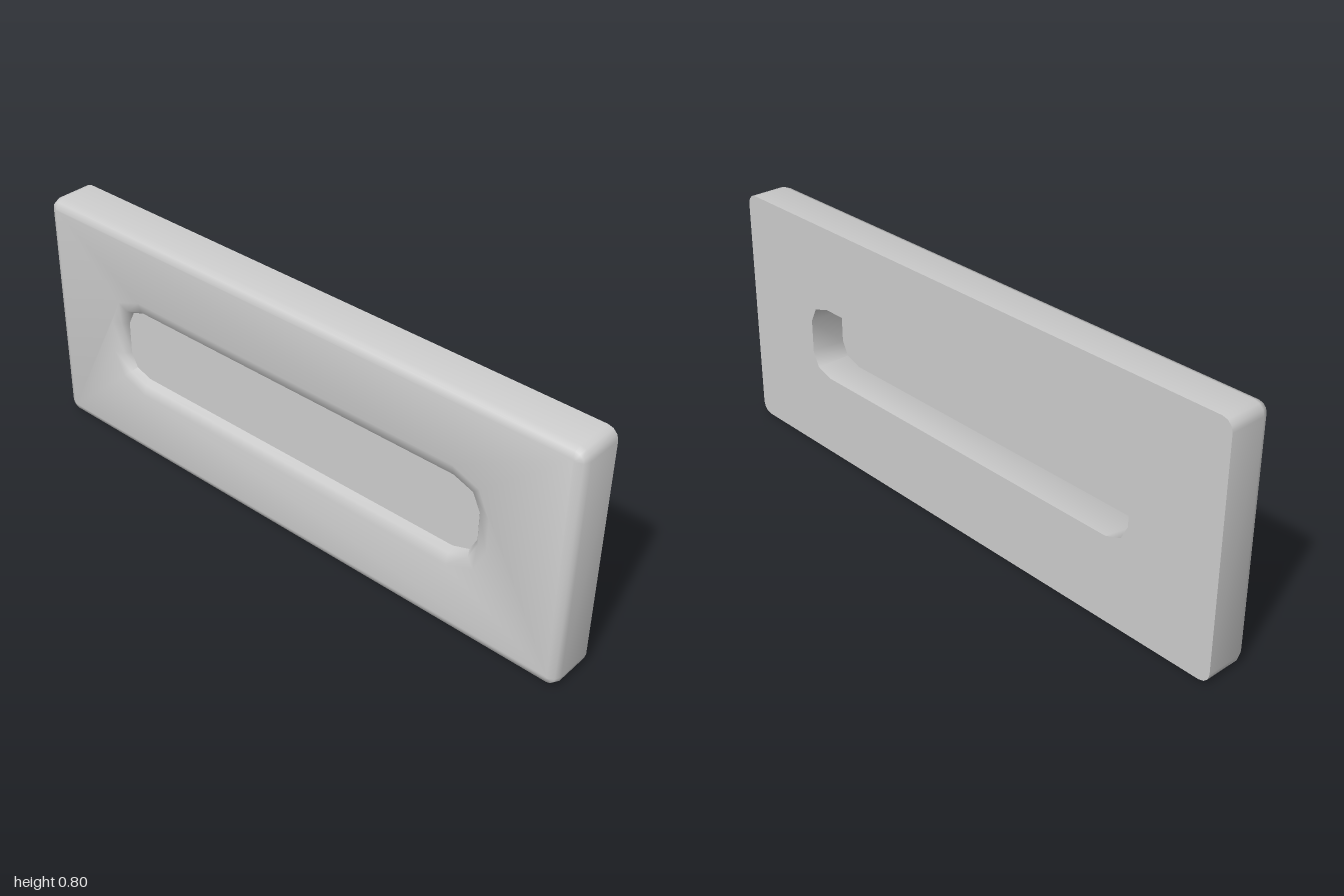
import * as THREE from 'three';
import { mergeGeometries, toCreasedNormals } from 'three/addons/utils/BufferGeometryUtils.js';

// Counter-clockwise rectangle outline with elliptical corners
function outline(hu, hv, ru, rv, n) {
  const pts = [];
  [[1, 1], [-1, 1], [-1, -1], [1, -1]].forEach(([su, sv], q) => {
    for (let i = 0; i <= n; i++) {
      const a = (q + i / n) * Math.PI / 2;
      pts.push(new THREE.Vector2(su * (hu - ru) + ru * Math.cos(a), sv * (hv - rv) + rv * Math.sin(a)));
    }
  });
  return pts;
}

// Wall through a series of outlines, each at its own depth w (front to back)
function loft(rows, inward) {
  const pos = [];
  const put = (r, i) => {
    const p = r.pts[i % r.pts.length];
    pos.push(p.x, p.y, r.w);
  };
  for (let k = 0; k + 1 < rows.length; k++) {
    const a = rows[k], b = rows[k + 1];
    for (let i = 0; i < a.pts.length; i++) {
      const c = inward
        ? [[a, i], [b, i + 1], [b, i], [a, i], [a, i + 1], [b, i + 1]]
        : [[a, i], [b, i], [b, i + 1], [a, i], [b, i + 1], [a, i + 1]];
      c.forEach(([r, j]) => put(r, j));
    }
  }
  return new THREE.BufferGeometry().setAttribute('position', new THREE.Float32BufferAttribute(pos, 3));
}

// Flat face with the slot cut out; flipped for the back
function face(outer, hole, w, flip) {
  const shape = new THREE.Shape(outer);
  shape.holes.push(new THREE.Path(hole));
  const g = new THREE.ShapeGeometry(shape).toNonIndexed();
  g.deleteAttribute('uv');
  g.deleteAttribute('normal');
  g.translate(0, 0, w);
  if (flip) {
    const p = g.attributes.position;
    for (let i = 0; i < p.count; i += 3) {
      const [x, y] = [p.getX(i), p.getY(i)];
      p.setXY(i, p.getX(i + 1), p.getY(i + 1));
      p.setXY(i + 1, x, y);
    }
  }
  return g;
}

export function createModel() {
  const group = new THREE.Group();
  const X = 0.074, bevel = 0.029, flare = 0.05, bevelStart = -X + bevel;
  const outer = (i) => outline(1 - i, 0.4 - i, 0.035 - i, 0.035 - i, 3);
  const slot = (o) => outline(0.69 + o, 0.122 + o, 0.08 + o, 0.067 + o, 2);

  // Straight sides, then a quarter-round towards the back
  const outerRows = [{ pts: outer(0), w: X }];
  const slotRows = [{ pts: slot(0), w: X }];
  for (let k = 0; k <= 2; k++) {
    const a = k / 2 * Math.PI / 2;
    const w = bevelStart - bevel * Math.sin(a);
    outerRows.push({ pts: outer(bevel * (1 - Math.cos(a))), w });
    slotRows.push({ pts: slot(flare * (1 - Math.cos(a))), w });
  }

  const body = mergeGeometries([
    face(outer(0), slot(0), X, false),
    face(outer(bevel), slot(flare), -X, true),
    loft(outerRows, false),
    loft(slotRows, true),
  ]);
  const plate = new THREE.Mesh(toCreasedNormals(body, 0.9), new THREE.MeshStandardMaterial({ color: 0xcccccc }));
  plate.name = 'plate';

  // Thin web closing the slot near the back
  const web = new THREE.Mesh(
    new THREE.ShapeGeometry(new THREE.Shape(slot(0))).translate(0, 0, bevelStart),
    new THREE.MeshStandardMaterial({ color: 0xcccccc, side: THREE.DoubleSide }),
  );
  web.name = 'slotFloor';

  // Turn the slab so its sharp-edged face looks along +x
  group.add(plate, web);
  for (const m of [plate, web]) {
    m.position.y = 0.4;
    m.rotation.y = Math.PI / 2;
  }
  group.name = 'slottedPlate';
  return group;
}
